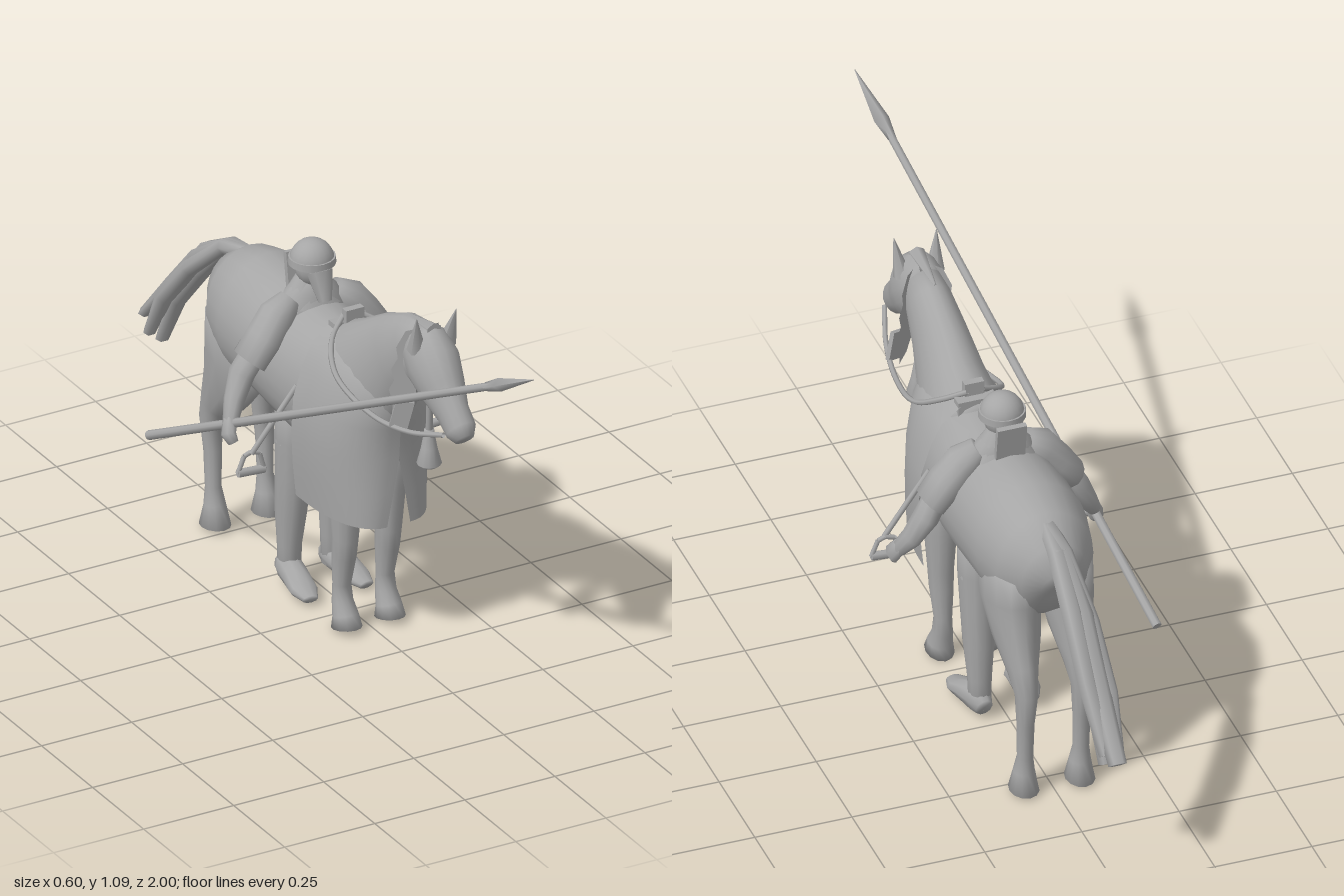
import * as THREE from 'three';

const grey = new THREE.MeshStandardMaterial({ color: 0xa6a6a6, side: THREE.DoubleSide });
grey.name = 'plain grey';

// Closed tube through sections [x, y, z, half width, half depth], rings square to the path
function loft(sections, sides = 16) {
  const pos = [], idx = [], n = sections.length;
  const pts = sections.map(s => new THREE.Vector3(s[0], s[1], s[2]));
  sections.forEach((s, i) => {
    const t = pts[Math.min(i + 1, n - 1)].clone().sub(pts[Math.max(i - 1, 0)]).normalize();
    const u = new THREE.Vector3(1, 0, 0).addScaledVector(t, -t.x).normalize();
    const v = t.clone().cross(u);
    for (let j = 0; j < sides; j++) {
      const a = j / sides * Math.PI * 2;
      const p = pts[i].clone().addScaledVector(u, s[3] * Math.cos(a)).addScaledVector(v, s[4] * Math.sin(a));
      pos.push(p.x, p.y, p.z);
    }
  });
  for (let i = 0; i < n - 1; i++) for (let j = 0; j < sides; j++) {
    const a = i * sides + j, b = i * sides + (j + 1) % sides;
    idx.push(a, b, a + sides, b, b + sides, a + sides);
  }
  // end caps
  [0, n - 1].forEach((i, e) => {
    const c = pos.length / 3;
    pos.push(...pts[i].toArray());
    for (let j = 0; j < sides; j++) {
      const a = i * sides + j, b = i * sides + (j + 1) % sides;
      e ? idx.push(c, a, b) : idx.push(c, b, a);
    }
  });
  return surface(pos, idx);
}

function surface(pos, idx) {
  const g = new THREE.BufferGeometry();
  g.setAttribute('position', new THREE.Float32BufferAttribute(pos, 3));
  g.setIndex(idx);
  g.computeVertexNormals();
  return g;
}

// Hanging cloth, one side: rows [y, half width, front z], open slit low at the front
function clothSide(s) {
  const rows = [[.33, .14, .235], [.42, .149, .237], [.51, .153, .237], [.6, .147, .245], [.68, .122, .265], [.735, .095, .25], [.775, .045, .2]];
  const cols = 12, pos = [], idx = [];
  rows.forEach(([y, w, f]) => {
    const slit = .032 * Math.max(0, (.51 - y) / .18);
    for (let c = 0; c <= cols; c++) {
      const t = c / cols * Math.PI / 2;
      pos.push(s * (slit + (w - slit) * Math.pow(Math.sin(t), .9)), y, -.022 + (f + .022) * Math.pow(Math.max(0, Math.cos(t)), .8));
    }
  });
  for (let r = 0; r < rows.length - 1; r++) for (let c = 0; c < cols; c++) {
    const a = r * (cols + 1) + c, b = a + 1, d = a + cols + 1;
    s > 0 ? idx.push(a, b, d, b, d + 1, d) : idx.push(a, d, b, b, d, d + 1);
  }
  return surface(pos, idx);
}

// Rod between two points
function rod(a, b, r0, r1 = r0, sides = 8) {
  const A = new THREE.Vector3(...a), B = new THREE.Vector3(...b), d = B.clone().sub(A);
  const g = new THREE.CylinderGeometry(r1, r0, d.length(), sides);
  g.applyQuaternion(new THREE.Quaternion().setFromUnitVectors(new THREE.Vector3(0, 1, 0), d.normalize()));
  return g.translate(...A.add(B).multiplyScalar(.5).toArray());
}

function tube(points, r, closed = false) {
  const c = new THREE.CatmullRomCurve3(points.map(p => new THREE.Vector3(...p)), closed);
  return new THREE.TubeGeometry(c, 32, r, 6, closed);
}

export function createModel() {
  const model = new THREE.Group();
  const horse = new THREE.Group(), rider = new THREE.Group(), tack = new THREE.Group();
  horse.name = 'horse'; rider.name = 'rider'; tack.name = 'tack';
  model.add(horse, rider, tack);
  const add = (group, name, g) => {
    const m = new THREE.Mesh(g, grey);
    m.name = name;
    group.add(m);
    return m;
  };

  // Horse trunk, neck and head
  add(horse, 'trunk', loft([
    [-.578, .60, .05, .04], [-.555, .61, .105, .085], [-.49, .612, .15, .125], [-.4, .615, .17, .145],
    [-.3, .61, .168, .148], [-.2, .595, .168, .145], [-.1, .585, .175, .14], [0, .582, .182, .132],
    [.1, .58, .175, .115], [.18, .58, .13, .085], [.225, .57, .06, .045]
  ].map(([z, y, h, w]) => [0, y, z, w, h]), 24));
  add(horse, 'neck', loft([[0, .60, .04, .115, .17], [0, .655, .095, .105, .165], [0, .73, .17, .08, .13],
    [0, .80, .25, .065, .108], [0, .85, .325, .055, .09], [0, .875, .37, .045, .07]], 20));
  add(horse, 'head', loft([[0, .895, .335, .035, .05], [0, .88, .36, .055, .08], [0, .845, .405, .064, .085],
    [0, .80, .45, .054, .07], [0, .757, .50, .039, .05], [0, .725, .54, .038, .043], [0, .708, .558, .024, .026]], 16));
  add(horse, 'forelock', rod([0, .935, .41], [0, .925, .28], .022, .004, 6));

  // Tail strands
  [[0, .03, 0, -1], [-.025, .022, -.025, -.95], [.022, .024, .012, -.97], [.005, .025, -.04, -.93]].forEach(([x, w, dy, end]) =>
    add(horse, 'tailStrand', loft([[0, .735, -.5, .022, .018], [x * .4, .712, -.6, w, .02],
      [x, .62 + dy, -.74, w * 1.1, .022], [x * 1.2, .49 + dy, -.86, w, .024], [x * .8, .35 + dy, end, w * .8, .014]], 6)));

  for (const s of [1, -1]) {
    // Horse ears and legs
    add(horse, 'ear', rod([s * .042, .89, .395], [s * .055, .987, .42], .024, .001, 6));
    add(horse, 'hindLeg', loft([[.60, -.43, .12, .06], [.50, -.43, .125, .062], [.42, -.475, .09, .052], [.34, -.53, .052, .036],
      [.285, -.557, .034, .028], [.2, -.55, .025, .022], [.1, -.547, .021, .02], [.055, -.54, .028, .027], [0, -.538, .047, .037]
    ].map(([y, z, d, w]) => [s * .072, y, z, w, d]), 12));
    add(horse, 'foreLeg', loft([[.5, .09, .06, .045], [.36, .08, .05, .04], [.24, .078, .036, .032], [.19, .073, .033, .03],
      [.11, .062, .023, .023], [.065, .065, .027, .026], [.03, .08, .033, .032], [0, .086, .046, .036]
    ].map(([y, z, d, w]) => [s * .06, y, z, w, d]), 12));

    // Cloth draped over the chest
    add(tack, 'chestCloth', clothSide(s));

    // Scalloped fringe beside the head
    const fringe = new THREE.Shape([[.02, .93], [.055, .92], [.078, .875], [.074, .845], [.09, .815], [.083, .785],
      [.096, .76], [.086, .72], [.09, .68], [.06, .70], [.03, .75]].map(([x, y]) => new THREE.Vector2(s * x, y)));
    const f = add(tack, 'headFringe', new THREE.ShapeGeometry(fringe));
    f.position.set(0, 0, .38);
    f.rotation.y = s * .6;

    // Reins, cheek tassels
    add(tack, 'rein', tube([[s * .04, .715, .525], [s * .075, .685, .42], [s * .1, .675, .28], [s * .11, .715, .12],
      [s * .075, .765, .04], [s * .02, .8, 0]], .007));
    const tassel = add(tack, 'cheekTassel', new THREE.BoxGeometry(.045, .075, .012));
    tassel.position.set(s * .068, .71, .37);
    tassel.rotation.set(0, s * .5, s * .25);

    // Stirrup and its strap
    add(tack, 'stirrupStrap', rod([s * .13, .62, -.035], [s * .25, .46, -.045], .007));
    const corners = [[.25, .462], [.225, .455], [.212, .408], [.285, .413], [.268, .455]];
    corners.forEach((c, i) => {
      const d = corners[(i + 1) % corners.length];
      add(tack, 'stirrupBar', rod([s * c[0], c[1], -.05], [s * d[0], d[1], -.05], i === 2 ? .011 : .006));
    });

    // Rider's legs, feet and arms
    add(rider, 'leg', loft([[.48, -.17, .055, .045], [.4, -.172, .058, .045], [.3, -.178, .052, .041], [.2, -.187, .046, .038],
      [.1, -.195, .032, .03], [.02, -.195, .03, .028]].map(([y, z, d, w]) => [s * .06, y, z, w, d]), 12));
    add(rider, 'foot', loft([[s * .06, .03, -.228, .022, .026], [s * .062, .04, -.2, .032, .039], [s * .068, .032, -.15, .034, .031],
      [s * .074, .019, -.1, .036, .018], [s * .078, .012, -.06, .02, .01]], 10));
    add(rider, 'sleeve', loft([[s * .06, .765, -.19, .03, .035], [s * .1, .735, -.185, .045, .05], [s * .14, .685, -.18, .044, .053],
      [s * .18, .635, -.18, .038, .055]], 12));
    add(rider, 'forearm', loft([[s * .16, .66, -.18, .03, .035], [s * .195, .60, -.19, .03, .038], [s * .225, .54, -.175, .025, .03],
      [s * .25, .495, -.15, .018, .022]], 10));
    add(rider, 'hand', loft([[s * .247, .505, -.155, .017, .022], [s * .262, .475, -.137, .017, .026], [s * .255, .455, -.125, .012, .018]], 8));
  }

  // Rider's trunk, tunic hem, head and helmet
  add(rider, 'torso', loft([[0, .46, -.175, .075, .06], [0, .6, -.18, .085, .065], [0, .72, -.19, .1, .065],
    [0, .78, -.195, .07, .05], [0, .82, -.19, .03, .03]], 16));
  const hem = add(rider, 'tunicHem', new THREE.CylinderGeometry(.095, .105, .07, 18, 1, true));
  hem.scale.z = .65;
  hem.position.set(0, .425, -.175);
  const face = add(rider, 'head', new THREE.SphereGeometry(.046, 16, 12));
  face.scale.y = 1.2;
  face.position.set(0, .85, -.185);
  const helmet = add(rider, 'helmet', new THREE.SphereGeometry(.055, 18, 8, 0, Math.PI * 2, 0, Math.PI / 2));
  helmet.position.set(0, .86, -.19);
  const band = add(rider, 'helmetBand', new THREE.CylinderGeometry(.058, .059, .018, 18));
  band.position.set(0, .862, -.19);
  add(rider, 'beard', rod([0, .845, -.155], [0, .775, -.125], .034, .018, 8));
  const mantle = add(rider, 'mantle', new THREE.CylinderGeometry(.04, .085, .07, 14));
  mantle.scale.z = .75;
  mantle.position.set(0, .785, -.195);
  const collar = add(rider, 'backCollar', new THREE.BoxGeometry(.075, .1, .014));
  collar.position.set(0, .81, -.25);
  collar.rotation.x = -.15;

  // Saddle front
  const pommel = add(tack, 'pommel', new THREE.BoxGeometry(.1, .04, .03));
  pommel.position.set(0, .765, -.005);
  const horn = add(tack, 'saddleHorn', new THREE.BoxGeometry(.05, .06, .02));
  horn.position.set(0, .79, .012);

  // Bell hung beneath the jaw
  const bell = add(tack, 'bell', new THREE.LatheGeometry([[0, .1], [.012, .1], [.014, .085], [.02, .05], [.031, .008], [.022, 0], [0, 0]]
    .map(p => new THREE.Vector2(...p)), 12));
  bell.position.set(.008, .55, .37);
  add(tack, 'bellStrap', rod([.008, .645, .37], [0, .78, .39], .009));

  // Spear with a leaf-shaped point
  const butt = new THREE.Vector3(-.3, .335, -.46), tip = new THREE.Vector3(-.055, 1.083, .995);
  const along = k => butt.clone().lerp(tip, k).toArray();
  add(rider, 'spearShaft', rod(along(0), along(.9), .012, .01));
  add(rider, 'spearPoint', loft([[.875, .011, .011], [.91, .02, .017], [.999, .001, .001]]
    .map(([k, w, d]) => [...along(k), w, d]), 4));
  return model;
}
